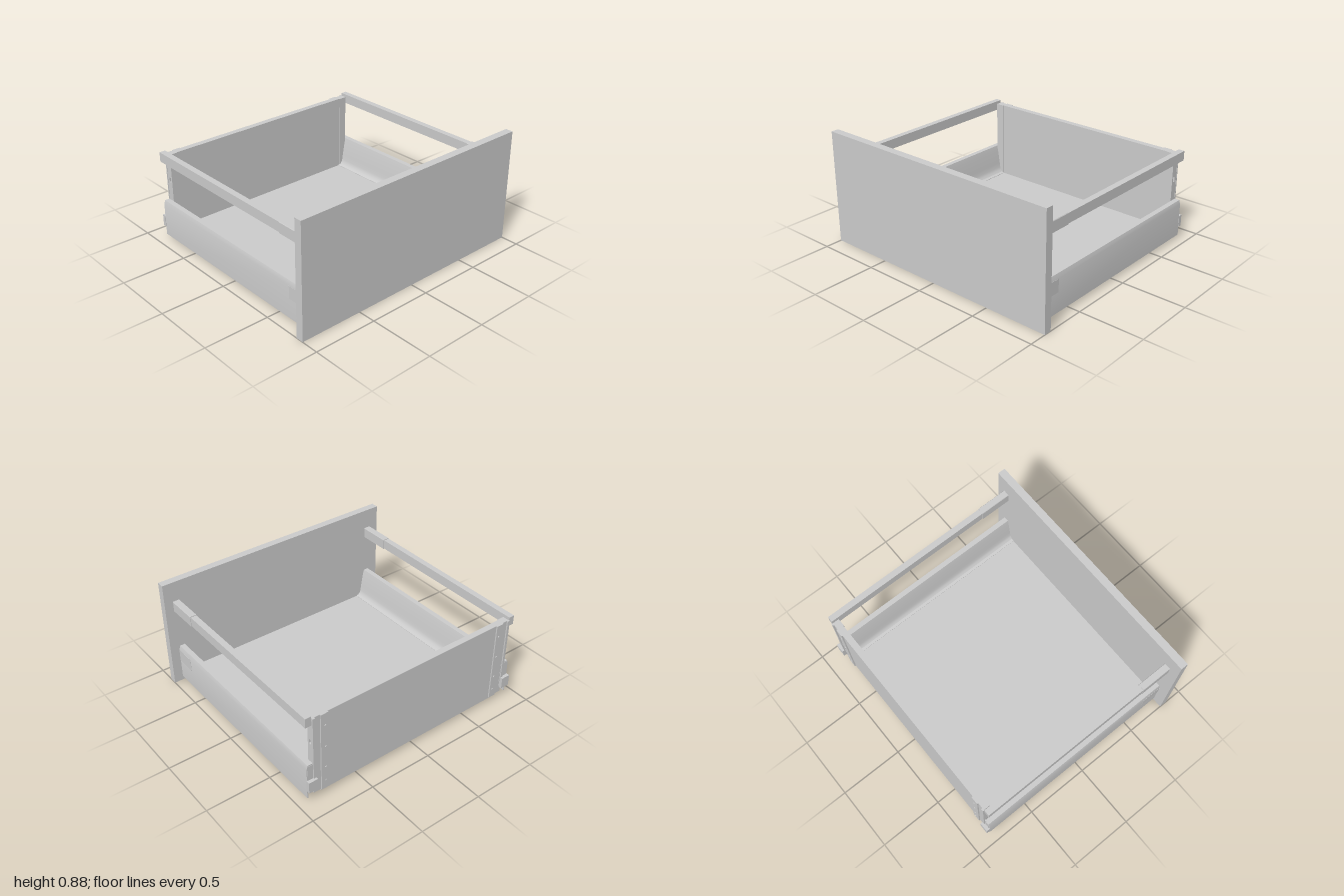
import * as THREE from 'three';
import { toCreasedNormals } from 'three/addons/utils/BufferGeometryUtils.js';

const grey = new THREE.MeshStandardMaterial({ color: 0xcccccc, side: THREE.DoubleSide });

function add(parent, name, geometry) {
  const mesh = new THREE.Mesh(geometry, grey);
  mesh.name = name;
  parent.add(mesh);
  return mesh;
}

// Box given by its limits on each axis
function box(parent, name, x0, x1, y0, y1, z0, z1) {
  const geometry = new THREE.BoxGeometry(x1 - x0, y1 - y0, Math.abs(z1 - z0));
  geometry.translate((x0 + x1) / 2, (y0 + y1) / 2, (z0 + z1) / 2);
  return add(parent, name, geometry);
}

// Cross-section of [z, y] points drawn out along x; s mirrors it in z
function extrudeX(points, x0, x1, s) {
  const shape = new THREE.Shape(points.map(([z, y]) => new THREE.Vector2(-s * z, y)));
  const geometry = new THREE.ExtrudeGeometry(shape, { depth: x1 - x0, bevelEnabled: false });
  geometry.rotateY(Math.PI / 2).translate(x0, 0, 0);
  return toCreasedNormals(geometry, 0.5);
}

// Upright bracket with a rectangular slot through it
function slottedPost() {
  const rect = (T, x0, x1, y0, y1) => new T([[x0, y0], [x1, y0], [x1, y1], [x0, y1]]
    .map(([x, y]) => new THREE.Vector2(x, y)));
  const shape = rect(THREE.Shape, -0.84, -0.787, 0.05, 0.7);
  shape.holes.push(rect(THREE.Path, -0.82, -0.8, 0.468, 0.505));
  return new THREE.ExtrudeGeometry(shape, { depth: 0.065, bevelEnabled: false });
}

function drawerSide(s) {
  const side = new THREE.Group();
  side.name = s > 0 ? 'leftSide' : 'rightSide';
  const part = (name, x0, x1, y0, y1, z0, z1) => box(side, name, x0, x1, y0, y1, s * z0, s * z1);

  // Folded metal wall: upright outside, curved inside, open underneath
  const wall = [
    [0.925, 0.032], [0.925, 0.288], [0.916, 0.32], [0.876, 0.32], [0.866, 0.28], [0.847, 0.17],
    [0.841, 0.13], [0.833, 0.107], [0.82, 0.092], [0.8, 0.085],
    [0.8, 0.077], [0.825, 0.083], [0.84, 0.1], [0.849, 0.127], [0.855, 0.17], [0.874, 0.28],
    [0.882, 0.312], [0.911, 0.312], [0.917, 0.286], [0.917, 0.032],
  ];
  add(side, 'sideWall', extrudeX(wall, -0.84, 0.806, s));
  part('coverCap', 0.64, 0.806, 0.185, 0.285, 0.92, 0.9265);
  part('endPlate', -0.842, -0.834, 0.1, 0.312, 0.85, 0.917);

  // Upper rail with its sleeve at the front panel
  part('rail', -0.84, 0.806, 0.645, 0.72, 0.878, 0.925);
  const sleeve = [[0.874, 0.641], [0.928, 0.641], [0.928, 0.72], [0.925, 0.725], [0.877, 0.725], [0.874, 0.72]];
  add(side, 'railSleeve', extrudeX(sleeve, 0.555, 0.806, s));

  // Rear corner bracket
  const post = add(side, 'rearPost', slottedPost());
  post.position.z = s > 0 ? 0.807 : -0.872;
  part('rearFlange', -0.85, -0.838, 0.05, 0.7, 0.75, 0.812);
  part('rearLip', -0.85, -0.84, 0.19, 0.7, 0.855, 0.875);
  part('rearHook', -0.868, -0.838, 0.1, 0.19, 0.855, 0.928);
  for (const y of [0.12, 0.24, 0.42, 0.6]) {
    const screw = add(side, 'screw', new THREE.CylinderGeometry(0.008, 0.008, 0.006, 12));
    screw.rotation.z = Math.PI / 2;
    screw.position.set(-0.852, y, s * 0.775);
  }

  // Small clips under the floor edge
  part('clip', -0.05, 0.02, 0.025, 0.04, 0.775, 0.805);
  part('clip', 0.035, 0.098, 0.012, 0.04, 0.785, 0.825);
  part('clip', 0.49, 0.505, 0.026, 0.04, 0.785, 0.805);
  part('clip', 0.56, 0.615, 0.025, 0.04, 0.775, 0.805);
  return side;
}

export function createModel() {
  const model = new THREE.Group();
  model.name = 'drawer';
  box(model, 'frontPanel', 0.805, 0.865, 0, 0.885, -1, 1);

  const body = new THREE.Group();
  body.name = 'body';
  body.position.z = -0.003;
  box(body, 'floor', -0.84, 0.806, 0.038, 0.082, -0.812, 0.812);
  box(body, 'backPanel', -0.84, -0.792, 0.038, 0.7, -0.81, 0.81);
  for (const s of [1, -1]) body.add(drawerSide(s));
  model.add(body);
  return model;
}
